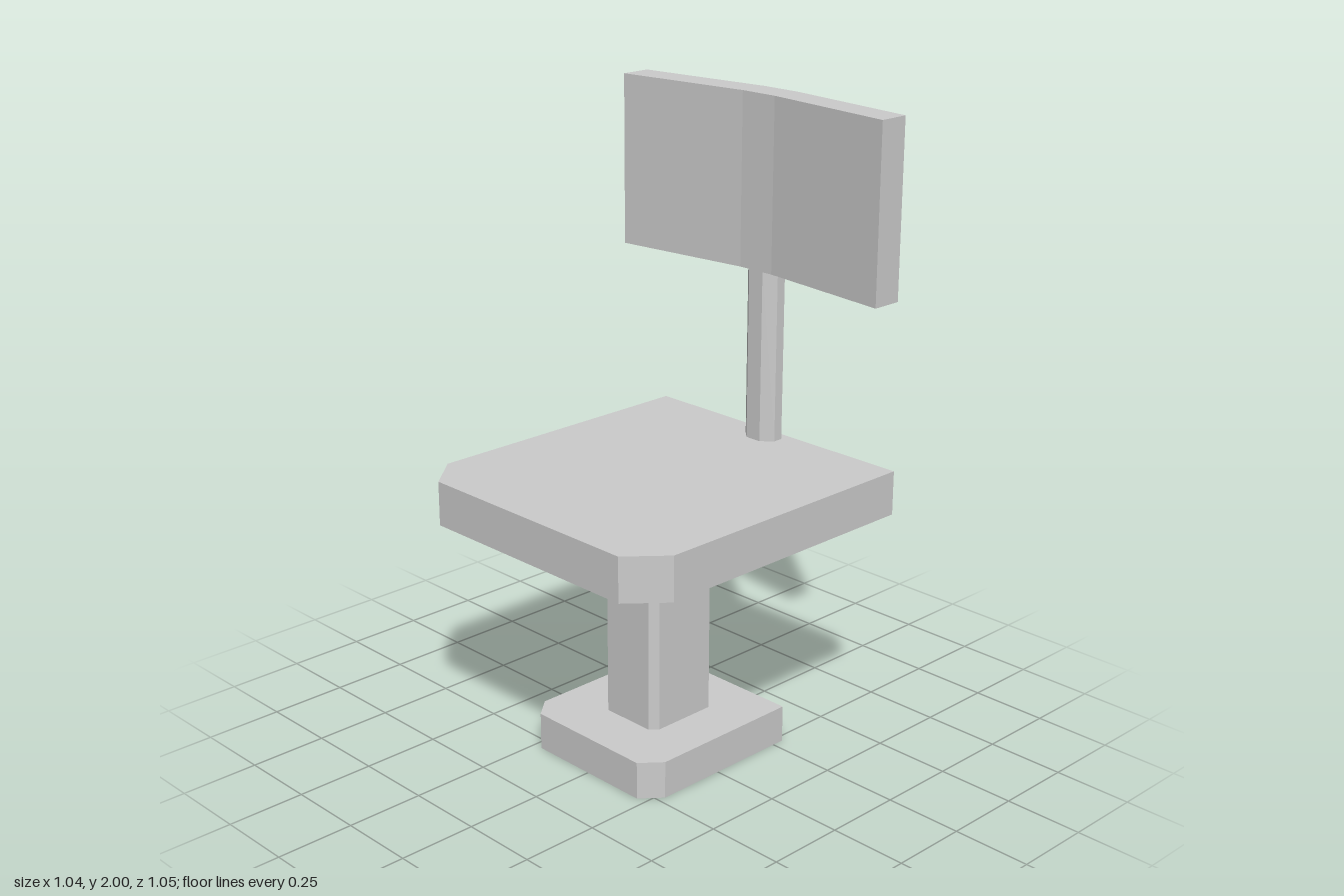
import * as THREE from 'three';

const material = new THREE.MeshStandardMaterial({ color: 0xcccccc, flatShading: true });

// Upright prism from half of a plan outline (x, z >= 0), mirrored across z = 0
function prism(name, half, y0, y1) {
  const mirrored = half.map(([x, z]) => [x, -z]).reverse();
  const shape = new THREE.Shape([...half, ...mirrored].map(([x, z]) => new THREE.Vector2(x, z)));
  const geometry = new THREE.ExtrudeGeometry(shape, { depth: y1 - y0, bevelEnabled: false });
  geometry.rotateX(-Math.PI / 2).translate(0, y0, 0);
  const mesh = new THREE.Mesh(geometry, material);
  mesh.name = name;
  return mesh;
}

// Block outline with the two corners on the -x side cut off
const cutBlock = (w, d, cutX, cutZ) => [[w, d], [-w + cutX, d], [-w, d - cutZ]];

export function createModel() {
  const group = new THREE.Group();
  group.name = 'chair';
  group.add(
    prism('base', cutBlock(0.29, 0.273, 0.065, 0.055), 0, 0.12),
    prism('pedestal', cutBlock(0.12, 0.113, 0.025, 0.022), 0.12, 0.77),
    prism('seat', cutBlock(0.521, 0.492, 0.115, 0.1), 0.77, 0.91),
    // Eight-sided post at the rear edge of the seat
    prism('backPost', [[0.52, 0.028], [0.487, 0.062], [0.455, 0.062], [0.423, 0.028]], 0.91, 1.457),
    // Backrest bent forward at both ends
    prism('backrest', [[0.52, 0.068], [0.466, 0.524], [0.367, 0.524], [0.422, 0.065]], 1.457, 2)
  );
  return group;
}
